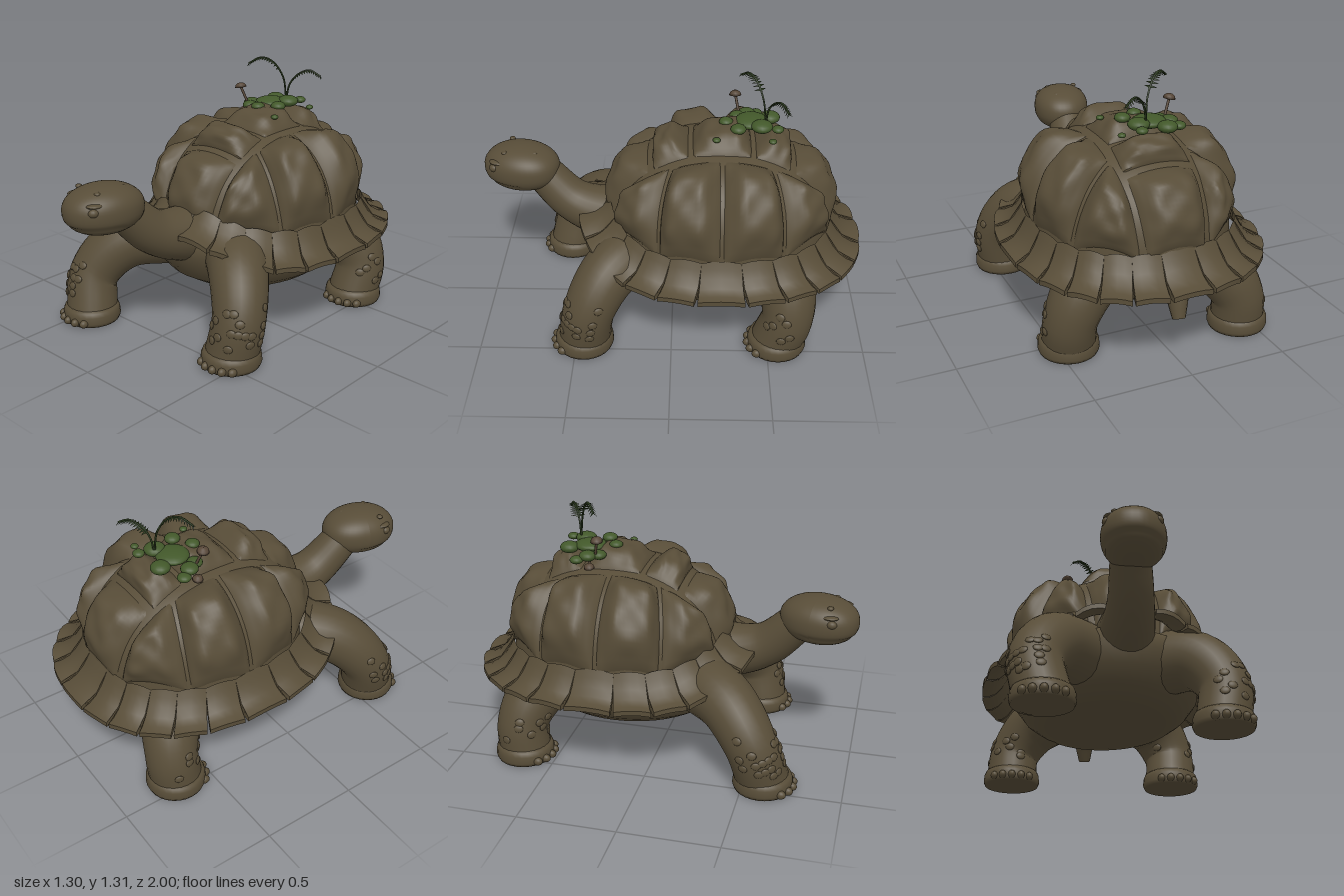
import * as THREE from 'three';
import { toCreasedNormals } from 'three/addons/utils/BufferGeometryUtils.js';

const V = (x, y, z) => new THREE.Vector3(x, y, z);
const CENTER = V(0, 0.55, -0.25);

// Skin a list of point rows; rows may wrap around and be capped at both ends
function loft(rows, closed = true, capped = closed, crease = 0.8) {
  const n = rows[0].length, pts = rows.flat().map(p => p.clone()), idx = [];
  const m = closed ? n : n - 1;
  for (let i = 0; i < rows.length - 1; i++) for (let j = 0; j < m; j++) {
    const a = i * n + j, b = i * n + (j + 1) % n;
    idx.push(a, b, a + n, b, b + n, a + n);
  }
  if (capped) [0, rows.length - 1].forEach((r, k) => {
    const c = pts.length;
    pts.push(rows[r].reduce((s, p) => s.add(p), V(0, 0, 0)).divideScalar(n));
    for (let j = 0; j < n; j++) {
      const a = r * n + j, b = r * n + (j + 1) % n;
      idx.push(...(k ? [a, b, c] : [b, a, c]));
    }
  });
  // turn the faces outward
  const q = pts.map(p => p.clone().sub(CENTER));
  let vol = 0;
  for (let i = 0; i < idx.length; i += 3)
    vol += q[idx[i]].dot(q[idx[i + 1]].clone().cross(q[idx[i + 2]]));
  if (vol < 0) idx.reverse();
  const g = new THREE.BufferGeometry().setFromPoints(pts);
  g.setIndex(idx);
  return toCreasedNormals(g, crease);
}

// Round limb rings along a smooth curve with changing radius
function limbRings(points, radii, steps = 20, sides = 24) {
  const curve = new THREE.CatmullRomCurve3(points.map(p => V(...p)));
  const f = curve.computeFrenetFrames(steps), rings = [];
  for (let i = 0; i <= steps; i++) {
    const t = i / steps * (radii.length - 1), k = Math.min(Math.floor(t), radii.length - 2);
    const r = THREE.MathUtils.lerp(radii[k], radii[k + 1], t - k), c = curve.getPoint(i / steps), ring = [];
    for (let j = 0; j < sides; j++) {
      const a = j / sides * Math.PI * 2;
      ring.push(c.clone().addScaledVector(f.normals[i], Math.cos(a) * r).addScaledVector(f.binormals[i], Math.sin(a) * r));
    }
    rings.push(ring);
  }
  return rings;
}

// Point on the shell dome from unit disc coordinates
function domePoint(a, b, lift = 0) {
  const r = Math.min(1, Math.hypot(a, b)), k = 1.5 - 0.5 * r * r, R = r * k;
  const p = V(0.51 * a * k, 0.45 + 0.54 * Math.pow(Math.max(0, 1 - R ** 2.7), 0.43), -0.25 + 0.59 * b * k);
  return p.addScaledVector(p.clone().sub(CENTER).normalize(), lift);
}

// Point on the flared rim: steep at the dome, flat at the outer edge
function rimPoint(th, t, drop) {
  const s = Math.max(0, Math.sin(th)), pw = v => Math.sign(v) * Math.abs(v) ** 0.87;
  const yi = 0.565 + 0.11 * s ** 4, yo = 0.425 + 0.17 * s ** 4;
  return V(pw(Math.cos(th)) * (0.51 + 0.14 * t), yi + (yo - yi) * (1 - (1 - t) ** 2.5) - drop,
    -0.25 + pw(Math.sin(th)) * (0.58 + 0.17 * t));
}

export function createModel() {
  const root = new THREE.Group();
  const mat = (name, color, side = THREE.FrontSide) => {
    const m = new THREE.MeshStandardMaterial({ color, side });
    m.name = name;
    return m;
  };
  const hide = mat('brown hide', 0x584d38), moss = mat('moss green', 0x42582a);
  const fern = mat('fern green', 0x2b3a1e, THREE.DoubleSide), cap = mat('mushroom brown', 0x564637);
  const add = (name, geo, material = hide, parent = root) => {
    const m = new THREE.Mesh(geo, material);
    m.name = name;
    parent.add(m);
    return m;
  };
  const ball = new THREE.SphereGeometry(1, 16, 12);
  const blob = (name, p, s, material = hide, parent = root) => {
    const m = add(name, ball, material, parent);
    m.position.set(...p);
    m.scale.set(...s);
    return m;
  };
  let seed = 7;
  const rnd = () => (seed = (seed * 16807) % 2147483647) / 2147483647;

  // Shell dome
  const dome = [];
  for (let i = 0; i <= 20; i++) dome.push(Array.from({ length: 48 }, (_, j) => {
    const a = j / 48 * Math.PI * 2, r = Math.max(0.02, i / 20);
    return domePoint(r * Math.cos(a), r * Math.sin(a));
  }));
  add('shellDome', loft(dome));

  // Raised scutes: four disc corners, the first edge being the upper one
  function scute(name, c, height) {
    const N = 20, rows = [], edge = v => THREE.MathUtils.smoothstep(Math.min(v, 1 - v), -0.02, 0.3);
    const mx = c.reduce((s, p) => s + p[0] / 4, 0), mz = c.reduce((s, p) => s + p[1] / 4, 0);
    const q = c.map(p => [mx + (p[0] - mx) * 0.95, mz + (p[1] - mz) * 0.95]);
    for (let i = 0; i <= N; i++) {
      const row = [], t = i / N;
      for (let j = 0; j <= N; j++) {
        const s = j / N;
        const at = k => (q[0][k] * (1 - s) + q[1][k] * s) * (1 - t) + (q[3][k] * (1 - s) + q[2][k] * s) * t;
        const rough = 0.006 * Math.sin(13 * s + 9 * mx) * Math.sin(17 * t + 5 * mz);
        // a thin raised border, then a pillow
        const lip = 0.012 * THREE.MathUtils.smoothstep(Math.min(s, 1 - s, t, 1 - t), 0, 0.05);
        row.push(domePoint(at(0), at(1), lip - 0.004 + edge(s) * edge(t) * (height * (1.15 - 0.45 * t) + rough)));
      }
      rows.push(row);
    }
    add(name, loft(rows, false, false));
  }
  const rim = (deg, r = 0.96) => [r * Math.cos(deg * Math.PI / 180), r * Math.sin(deg * Math.PI / 180)];
  scute('crownScute', [[-0.235, -0.18], [0.235, -0.18], [0.235, 0.18], [-0.235, 0.18]], 0.075);
  for (const d of [1, -1]) {
    scute('vertebralScute', [[-0.235, d * 0.19], [0.235, d * 0.19], [0.27, d * 0.43], [-0.27, d * 0.43]], 0.07);
    scute('endScute', [[-0.265, d * 0.45], [0.265, d * 0.45], rim(d * 72), rim(d * 108)], 0.06);
    const inner = [[0.29, 0.6], [0.275, 0.3], [0.255, 0], [0.275, -0.3], [0.29, -0.6]], out = [70, 32, 0, -32, -70];
    for (let i = 0; i < 4; i++) {
      const quad = [inner[i], inner[i + 1], rim(out[i + 1]), rim(out[i])];
      scute('costalScute', quad.map(p => [p[0] * d, p[1]]), i === 1 || i === 2 ? 0.078 : 0.066);
    }
  }

  // Flared rim plates, parted by narrow gaps
  for (let i = 0; i < 24; i++) {
    const mid = (i / 24) * Math.PI * 2, half = Math.PI / 24, rows = [];
    for (const u of [-1, -0.5, 0, 0.5, 1]) {
      const pt = (t, d) => rimPoint(mid + u * half * (1.01 - 0.09 * t), t * (1 - 0.03 * u * u), d - 0.014 * (1 - u * u));
      const ts = [0, 0.12, 0.28, 0.5, 0.75, 1];
      rows.push([...ts.map(t => pt(t, 0)), ...ts.slice().reverse().map(t => pt(t, 0.045 - 0.02 * t))]);
    }
    add('rimPlate', loft(rows, true, true, 0.6));
  }

  // Belly plate
  const bellyProfile = [[0, 0], [0.6, 0], [0.72, 0.012], [0.85, 0.06], [0.95, 0.13], [1, 0.22], [1, 0.3], [0, 0.31]];
  const belly = add('belly', new THREE.LatheGeometry(bellyProfile.map(p => new THREE.Vector2(...p)), 48));
  belly.scale.set(0.51, 1, 0.6);
  belly.position.set(0, 0.215, -0.2);

  // Neck and tail
  add('neck', loft(limbRings([[0, 0.53, 0.1], [0, 0.53, 0.34], [-0.02, 0.59, 0.53], [-0.055, 0.74, 0.69]], [0.17, 0.145, 0.115, 0.1])));
  add('tail', loft(limbRings([[0, 0.44, -0.74], [0, 0.35, -0.82], [0.01, 0.235, -0.87]], [0.07, 0.06, 0.032], 10, 14)));

  // Head with brows, eyes and lip line
  const head = new THREE.Group();
  head.name = 'head';
  head.position.set(-0.065, 0.78, 0.8);
  head.rotation.y = -0.26;
  root.add(head);
  const skull = new THREE.SphereGeometry(1, 40, 28), sp = skull.attributes.position;
  for (let i = 0; i < sp.count; i++) {
    const p = V().fromBufferAttribute(sp, i), pw = (v, e) => Math.sign(v) * Math.abs(v) ** e;
    const groove = p.z > -0.2 ? 1 - 0.05 * Math.exp(-(((p.y + 0.45) / 0.06) ** 2)) : 1;
    sp.setXYZ(i, pw(p.x, 0.9) * 0.156 * groove, pw(p.y, 0.85) * 0.121, p.z * 0.203 * groove);
  }
  skull.computeVertexNormals();
  add('skull', skull, hide, head);
  for (const s of [1, -1]) {
    blob('eye', [s * 0.118, 0.03, 0.105], [0.024, 0.022, 0.028], hide, head);
    blob('brow', [s * 0.105, 0.06, 0.09], [0.032, 0.012, 0.045], hide, head);
  }
  for (let i = 0; i < 12; i++)
    blob('headScale', [(rnd() - 0.5) * 0.17, 0.1, (rnd() - 0.5) * 0.2], [0.016, 0.01, 0.016], hide, head);

  // Legs: path with the foot last, number of skin scales
  const legs = [
    ['frontLeftLeg', 1, [[0.2, 0.44, 0.16], [0.37, 0.4, 0.32], [0.465, 0.24, 0.42], [0.445, 0.04, 0.455]], 24],
    ['frontRightLeg', -1, [[-0.2, 0.44, 0.2], [-0.37, 0.4, 0.4], [-0.47, 0.24, 0.54], [-0.44, 0.04, 0.6]], 24],
    ['hindLeftLeg', 1, [[0.25, 0.42, -0.52], [0.38, 0.34, -0.59], [0.45, 0.2, -0.6], [0.445, 0.04, -0.55]], 9],
    ['hindRightLeg', -1, [[-0.22, 0.4, -0.54], [-0.34, 0.32, -0.63], [-0.42, 0.19, -0.68], [-0.435, 0.04, -0.67]], 9],
  ];
  const footProfile = [[0, 0], [0.145, 0], [0.153, 0.02], [0.15, 0.055], [0.142, 0.075], [0.12, 0.09], [0, 0.095]];
  for (const [name, side, path, scales] of legs) {
    const leg = new THREE.Group();
    leg.name = name;
    root.add(leg);
    const rings = limbRings(path, [0.17, 0.15, 0.133, 0.135]);
    add('limb', loft(rings), hide, leg);
    const [fx, , fz] = path[3];
    const foot = add('foot', new THREE.LatheGeometry(footProfile.map(p => new THREE.Vector2(...p)), 28), hide, leg);
    foot.position.set(fx, 0, fz);
    for (let i = -2; i <= 2; i++) {
      const a = i * 0.34 + side * 0.1;
      blob('toenail', [fx + Math.sin(a) * 0.15, 0.025, fz + Math.cos(a) * 0.15], [0.02, 0.022, 0.026], hide, leg);
    }
    for (let n = 0, tries = 0; n < scales && tries < 400; tries++) {
      const ring = rings[10 + Math.floor(rnd() * 8)], p = ring[Math.floor(rnd() * ring.length)];
      const c = ring[0].clone().add(ring[12]).multiplyScalar(0.5), d = p.clone().sub(c).normalize();
      if (d.x * side * 0.6 + d.z * 0.8 < 0.25 || p.y < 0.12 || p.y > 0.32) continue;
      const m = blob('skinScale', p.toArray(), [0.024, 0.02, 0.008], hide, leg);
      m.lookAt(p.clone().add(d));
      n++;
    }
  }

  // Moss cushions: x, y, z, radius
  const cushions = [[-0.05, 1.065, -0.4, 0.085], [-0.1, 1.06, -0.5, 0.05], [0.03, 1.075, -0.45, 0.055], [-0.2, 1.03, -0.43, 0.035],
    [-0.14, 1.045, -0.33, 0.04], [0.06, 1.075, -0.33, 0.04], [-0.03, 1.07, -0.27, 0.036], [0.13, 1.05, -0.22, 0.02],
    [0.14, 1.05, -0.5, 0.02], [-0.17, 1.045, -0.38, 0.045], [0.05, 1.07, -0.53, 0.03]];
  for (const [x, y, z, r] of cushions) blob('mossCushion', [x, y, z], [r, Math.min(r * 0.6, 0.03), r], moss);

  // Mushrooms: foot, top, cap radius
  for (const [a, b, r] of [[[-0.165, 1.05, -0.34], [-0.2, 1.14, -0.32], 0.032], [[-0.17, 1.03, -0.37], [-0.21, 1.0, -0.36], 0.028]]) {
    const path = new THREE.LineCurve3(V(...a), V(...b));
    add('mushroomStem', new THREE.TubeGeometry(path, 2, 0.007, 8), cap);
    const c = add('mushroomCap', new THREE.LatheGeometry([[0, -0.004], [r, -0.004], [r * 0.85, r * 0.3], [r * 0.45, r * 0.6], [0, r * 0.7]].map(p => new THREE.Vector2(...p)), 16), cap);
    c.position.set(...b);
    c.rotation.z = 0.2;
  }

  // Fern fronds with paired leaflets
  const fronds = [[[0, 1.07, -0.47], [-0.012, 1.2, -0.455], [-0.06, 1.285, -0.42], [-0.11, 1.305, -0.385], [-0.165, 1.27, -0.345]],
    [[0, 1.07, -0.47], [0.015, 1.16, -0.48], [0.05, 1.215, -0.505], [0.1, 1.24, -0.54], [0.155, 1.21, -0.57]]];
  for (const f of fronds) {
    const curve = new THREE.CatmullRomCurve3(f.map(p => V(...p))), tris = [];
    add('fernStem', new THREE.TubeGeometry(curve, 20, 0.005, 6), fern);
    const across = V(0.5, 0, 0.86);
    for (let i = 0; i < 13; i++) for (const s of [1, -1]) {
      const t = 0.38 + i * 0.05, p = curve.getPoint(t), d = curve.getTangent(t);
      const len = 0.038 - 0.0017 * i;
      const tip = p.clone().addScaledVector(across, s * len).addScaledVector(d, 0.012).add(V(0, -0.012, 0));
      tris.push(p.clone().addScaledVector(d, -0.008), p.clone().addScaledVector(d, 0.008), tip);
    }
    const g = new THREE.BufferGeometry().setFromPoints(tris);
    g.computeVertexNormals();
    add('fernLeaflets', g, fern);
  }
  return root;
}
